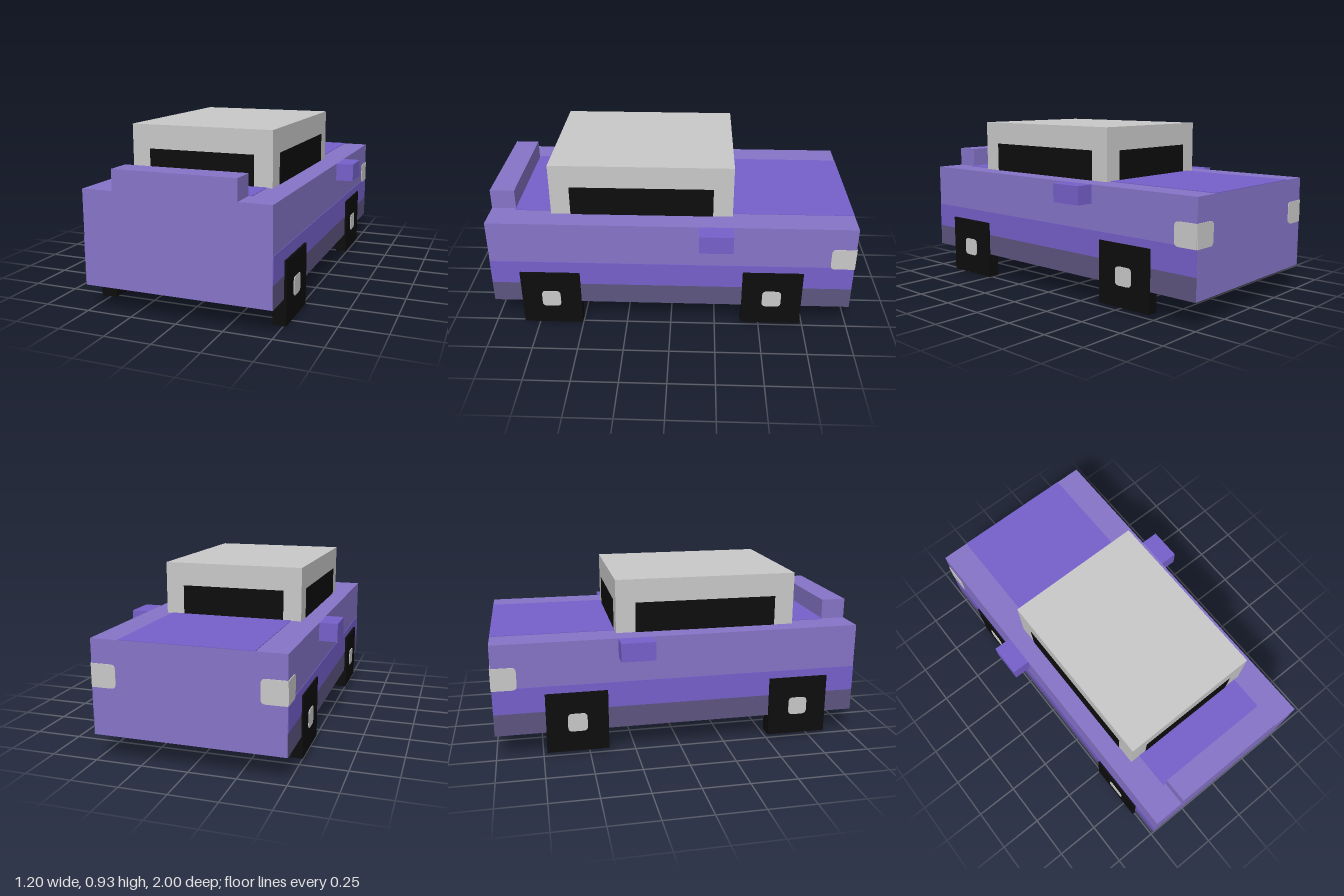
import * as THREE from 'three';

const paint = (name, color) => {
  const m = new THREE.MeshStandardMaterial({ color });
  m.name = name;
  return m;
};

export function createModel() {
  const lilac = paint('lilac', 0x8674c8);
  const violet = paint('violet', 0x7660cb);
  const slate = paint('slate purple', 0x5d5580);
  const grey = paint('light grey', 0xc9c9c9);
  const black = paint('black', 0x0d0d0d);

  const car = new THREE.Group();
  car.name = 'car';

  // Box given by its minimum and maximum on each axis
  const block = (name, mat, x0, x1, y0, y1, z0, z1) => {
    const mesh = new THREE.Mesh(new THREE.BoxGeometry(x1 - x0, y1 - y0, z1 - z0), mat);
    mesh.position.set((x0 + x1) / 2, (y0 + y1) / 2, (z0 + z1) / 2);
    mesh.name = name;
    car.add(mesh);
    return mesh;
  };

  // Thin plate with rounded corners, centred on its outline, facing +z
  const roundedPlate = (name, w, h, rLeft, rRight) => {
    const a = w / 2, b = h / 2;
    const s = new THREE.Shape();
    s.moveTo(-a + rLeft, -b);
    s.lineTo(a - rRight, -b);
    s.quadraticCurveTo(a, -b, a, -b + rRight);
    s.lineTo(a, b - rRight);
    s.quadraticCurveTo(a, b, a - rRight, b);
    s.lineTo(-a + rLeft, b);
    s.quadraticCurveTo(-a, b, -a, b - rLeft);
    s.lineTo(-a, -b + rLeft);
    s.quadraticCurveTo(-a, -b, -a + rLeft, -b);
    const geo = new THREE.ExtrudeGeometry(s, { depth: 0.004, bevelEnabled: false, curveSegments: 4 });
    const mesh = new THREE.Mesh(geo, grey);
    mesh.name = name;
    car.add(mesh);
    return mesh;
  };

  const T = 0.003; // thickness of painted plates

  // Body, raised front bar and bonnet paint
  block('body', lilac, -0.5, 0.5, 0.14, 0.64, -1, 1);
  block('frontBar', lilac, -0.33, 0.33, 0.64, 0.75, 0.865, 1);
  block('topStripe', violet, -0.345, 0.35, 0.64, 0.64 + T, -1, 0.865);

  // Cabin with front and rear windows
  block('cabin', grey, -0.4, 0.38, 0.64, 0.93, -0.335, 0.66);
  block('frontWindow', black, -0.3, 0.28, 0.64, 0.803, 0.66, 0.66 + T);
  block('rearWindow', black, -0.3, 0.277, 0.64, 0.803, -0.335 - T, -0.335);

  for (const s of [1, -1]) {
    const side = s > 0 ? 'left' : 'right';
    // Block measured outward from the centre on this side
    const sideBlock = (name, mat, inner, outer, ...rest) =>
      block(side + name, mat, Math.min(s * inner, s * outer), Math.max(s * inner, s * outer), ...rest);

    // Painted side bands
    sideBlock('MiddleBand', violet, 0.5, 0.5 + T, 0.26, 0.4, -1, 1);
    sideBlock('SillBand', slate, 0.5, 0.5 + T, 0.14, 0.26, -1, 1);

    // Side window and mirror
    const wall = s > 0 ? 0.38 : 0.4;
    sideBlock('SideWindow', black, wall, wall + T, 0.64, 0.803, -0.228, 0.553);
    sideBlock('Mirror', violet, 0.5, 0.6, 0.54, 0.64, -0.335, -0.153);

    // Square wheels with hubs
    const wheels = [
      ['FrontWheel', s > 0 ? 0 : 0.025, 0.505, s > 0 ? 0.445 : 0.43, 0.515],
      ['RearWheel', 0.025, -0.73, 0.45, 0.512],
    ];
    for (const [name, y, z, inner, outer] of wheels) {
      sideBlock(name, black, inner, outer, y, y + 0.333, z, z + 0.333);
      const hub = roundedPlate(side + name + 'Hub', 0.105, 0.1, 0.025, 0.025);
      hub.rotation.y = s * Math.PI / 2;
      hub.position.set(s * outer, y + 0.165, z + 0.167);
    }

    // Rear lamps wrapping around the corner, rounded at their inner ends
    const rear = roundedPlate(side + 'RearLamp', 0.13, 0.123, s > 0 ? 0 : 0.025, s > 0 ? 0.025 : 0);
    rear.rotation.y = Math.PI;
    rear.position.set(s * 0.435, 0.453, -1);
    const flank = roundedPlate(side + 'SideLamp', 0.13, 0.123, s > 0 ? 0.025 : 0, s > 0 ? 0 : 0.025);
    flank.rotation.y = s * Math.PI / 2;
    flank.position.set(s * 0.5, 0.453, -0.935);
  }
  return car;
}
